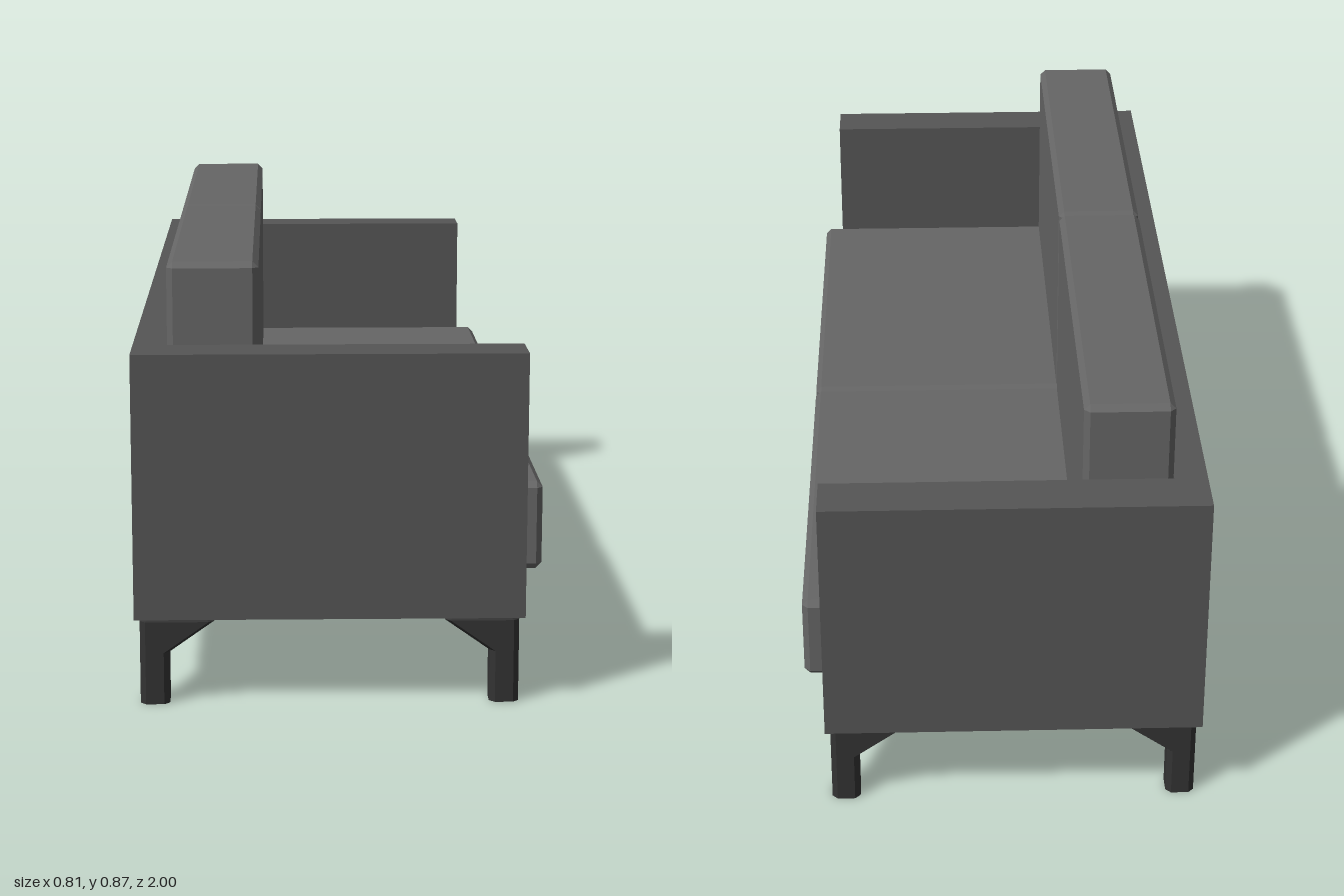
import * as THREE from 'three';
import { ConvexGeometry } from 'three/addons/geometries/ConvexGeometry.js';

const material = (color) => new THREE.MeshStandardMaterial({ color, flatShading: true });

// Box between two corners with every edge chamfered by c
function chamferBox(min, max, c) {
  const points = [];
  for (let corner = 0; corner < 8; corner++) {
    for (let axis = 0; axis < 3; axis++) {
      // one point per face meeting at this corner
      const p = [0, 1, 2].map((k) => {
        const high = (corner >> k) & 1;
        const inset = k === axis ? 0 : c;
        return high ? max[k] - inset : min[k] + inset;
      });
      points.push(new THREE.Vector3(...p));
    }
  }
  return new ConvexGeometry(points);
}

// Post flaring inward to a square mounting plate; the outer corner is the local origin
function legGeometry() {
  const c = 0.011;
  const sections = [[0, 0, 0.058], [0.105, 0, 0.058], [0.168, 0, 0.147], [0.177, 0.008, 0.131]]; // y, inset, size
  const positions = [];
  const index = [];
  for (const [y, inset, s] of sections) {
    const ring = [[-c, 0], [c - s, 0], [-s, -c], [-s, c - s], [c - s, -s], [-c, -s], [0, c - s], [0, -c]];
    for (const [x, z] of ring) positions.push(x - inset, y, z - inset);
  }
  for (let j = 0; j < sections.length - 1; j++) {
    for (let i = 0; i < 8; i++) {
      const a = j * 8 + i, b = j * 8 + (i + 1) % 8;
      index.push(a, a + 8, b, b, a + 8, b + 8);
    }
  }
  const top = (sections.length - 1) * 8;
  for (let i = 1; i < 7; i++) {
    index.push(0, i, i + 1);
    index.push(top, top + i + 1, top + i);
  }
  const indexed = new THREE.BufferGeometry();
  indexed.setAttribute('position', new THREE.Float32BufferAttribute(positions, 3));
  indexed.setIndex(index);
  const geometry = indexed.toNonIndexed();
  geometry.computeVertexNormals();
  return geometry;
}

export function createModel() {
  const sofa = new THREE.Group();
  sofa.name = 'sofa';
  const frameMaterial = material(0x555555);
  const cushionMaterial = material(0x666666);
  const legMaterial = material(0x333333);

  const add = (name, geometry, mat) => {
    const mesh = new THREE.Mesh(geometry, mat);
    mesh.name = name;
    sofa.add(mesh);
    return mesh;
  };

  const back = -0.405, front = 0.363, bottom = 0.177, top = 0.705;
  const innerBack = -0.338, innerZ = 0.895, seatBottom = 0.247;

  // Arms and back: one U-shaped wall, drawn in plan and raised
  const plan = new THREE.Shape([
    [back, -1], [front, -1], [front, -innerZ], [innerBack, -innerZ],
    [innerBack, innerZ], [front, innerZ], [front, 1], [back, 1],
  ].map(([x, z]) => new THREE.Vector2(x, z)));
  const walls = new THREE.ExtrudeGeometry(plan, { depth: top - bottom, bevelEnabled: false });
  walls.rotateX(-Math.PI / 2).translate(0, bottom, 0);
  add('armsAndBack', walls, frameMaterial);

  // Seat base between the walls
  const base = new THREE.BoxGeometry(front - innerBack, seatBottom - bottom, innerZ * 2);
  base.translate((front + innerBack) / 2, (seatBottom + bottom) / 2, 0);
  add('seatBase', base, frameMaterial);

  // Two seat cushions and two back cushions
  for (const [side, z0, z1] of [['Left', -innerZ, 0], ['Right', 0, innerZ]]) {
    add('seatCushion' + side, chamferBox([innerBack, 0.246, z0], [0.405, 0.425, z1], 0.012), cushionMaterial);
    add('backCushion' + side, chamferBox([innerBack, 0.412, z0], [-0.158, 0.868, z1], 0.012), cushionMaterial);
  }

  // Four legs, each turned so its flare points inward
  const leg = legGeometry();
  [[0.353, 0.985], [0.353, -0.985], [-0.395, -0.985], [-0.395, 0.985]].forEach(([x, z], i) => {
    const mesh = add('leg' + (i + 1), leg, legMaterial);
    mesh.position.set(x, 0, z);
    mesh.rotation.y = i * Math.PI / 2;
  });

  return sofa;
}
